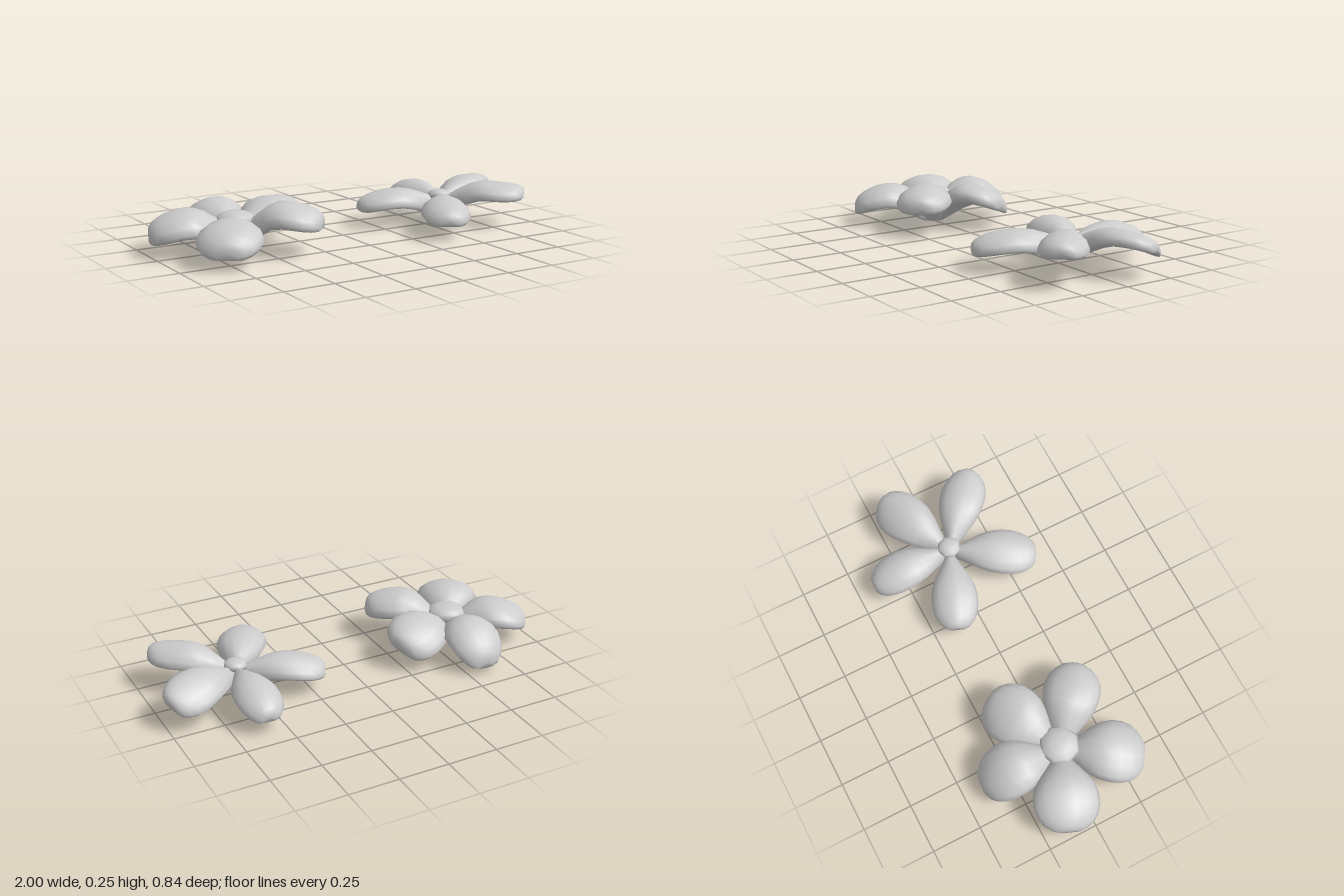
import * as THREE from 'three';

const material = new THREE.MeshStandardMaterial({ color: 0xcccccc });
const SIDES = 14;

// Petal outline along its length: [distance, width, thickness], all as fractions
const PROFILE = [
  [0, 0.12, 1], [0.12, 0.3, 1.25], [0.24, 0.54, 1.3], [0.36, 0.77, 1.22], [0.48, 0.93, 1.1],
  [0.6, 1, 1.03], [0.72, 1, 1], [0.83, 0.91, 0.97], [0.91, 0.76, 0.93], [0.97, 0.55, 0.82], [1, 0.34, 0.55],
];

// One fleshy petal along +x: rises from the base, arches over and drops to the tip
function petalGeometry({ length, width, thick, base, mid, tip, roll }) {
  const positions = [], index = [];
  const heightAt = (t) => t < 0.55
    ? THREE.MathUtils.lerp(base, mid, THREE.MathUtils.smoothstep(t, -0.05, 0.55))
    : THREE.MathUtils.lerp(mid, tip, ((t - 0.55) / 0.45) ** 2);

  for (const [t, w, h] of PROFILE) {
    for (let j = 0; j < SIDES; j++) {
      const a = (j / SIDES) * Math.PI * 2;
      const across = Math.cos(a);
      const up = Math.sign(Math.sin(a)) * Math.abs(Math.sin(a)) ** 0.8;
      const z = across * w * width;
      // the side edges droop, and the petal may lean to one side
      const y = heightAt(t) + up * h * thick - 0.034 * w * across * across + roll * z * t;
      positions.push(t * length, y, z);
    }
  }
  const rings = PROFILE.length;
  for (let i = 0; i < rings - 1; i++) {
    for (let j = 0; j < SIDES; j++) {
      const k = (j + 1) % SIDES;
      const a = i * SIDES + j, b = i * SIDES + k;
      index.push(a, a + SIDES, b, b, a + SIDES, b + SIDES);
    }
  }
  // end caps
  const start = rings * SIDES, last = (rings - 1) * SIDES;
  positions.push(0, base, 0, length * 1.005, tip, 0);
  for (let j = 0; j < SIDES; j++) {
    const k = (j + 1) % SIDES;
    index.push(start, j, k, start + 1, last + k, last + j);
  }
  const geometry = new THREE.BufferGeometry();
  geometry.setAttribute('position', new THREE.Float32BufferAttribute(positions, 3));
  geometry.setIndex(index);
  geometry.computeVertexNormals();
  return geometry;
}

function flower(name, x, z, { thick, base, centre, petals }) {
  const group = new THREE.Group();
  group.name = name;
  group.position.set(x, 0, z);

  petals.forEach(([angle, length, width, mid, tip, roll], i) => {
    const petal = new THREE.Mesh(petalGeometry({ length, width, thick, base, mid, tip, roll }), material);
    petal.name = `petal${i + 1}`;
    petal.rotation.y = THREE.MathUtils.degToRad(angle);
    group.add(petal);
  });

  // low domed button in the middle
  const button = new THREE.Mesh(new THREE.SphereGeometry(1, 8, 6), material);
  button.name = 'flowerCentre';
  button.scale.set(centre.radius, centre.height, centre.radius);
  button.position.y = centre.y;
  group.add(button);
  return group;
}

export function createModel() {
  const model = new THREE.Group();
  model.name = 'flowers';

  // petals: [angle, length, half width, arch height, tip height, roll]
  model.add(flower('wideFlower', -0.6, 0.01, {
    thick: 0.051, base: 0.05, centre: { radius: 0.1, height: 0.045, y: 0.153 },
    petals: [
      [88, 0.415, 0.14, 0.172, 0.062, 0],
      [27, 0.42, 0.145, 0.178, 0.13, 0.35],
      [-41, 0.42, 0.14, 0.198, 0.157, 0],
      [-122, 0.415, 0.155, 0.157, 0.088, 0],
      [159, 0.41, 0.16, 0.162, 0.1, 0.1],
    ],
  }));
  model.add(flower('slimFlower', 0.58, 0.01, {
    thick: 0.039, base: 0.09, centre: { radius: 0.06, height: 0.03, y: 0.15 },
    petals: [
      [88, 0.425, 0.11, 0.153, 0.09, 0],
      [26, 0.445, 0.118, 0.178, 0.14, 0.4],
      [-41, 0.435, 0.115, 0.19, 0.175, 0],
      [-119, 0.443, 0.123, 0.148, 0.102, 0],
      [159, 0.43, 0.117, 0.153, 0.107, 0],
    ],
  }));
  return model;
}
